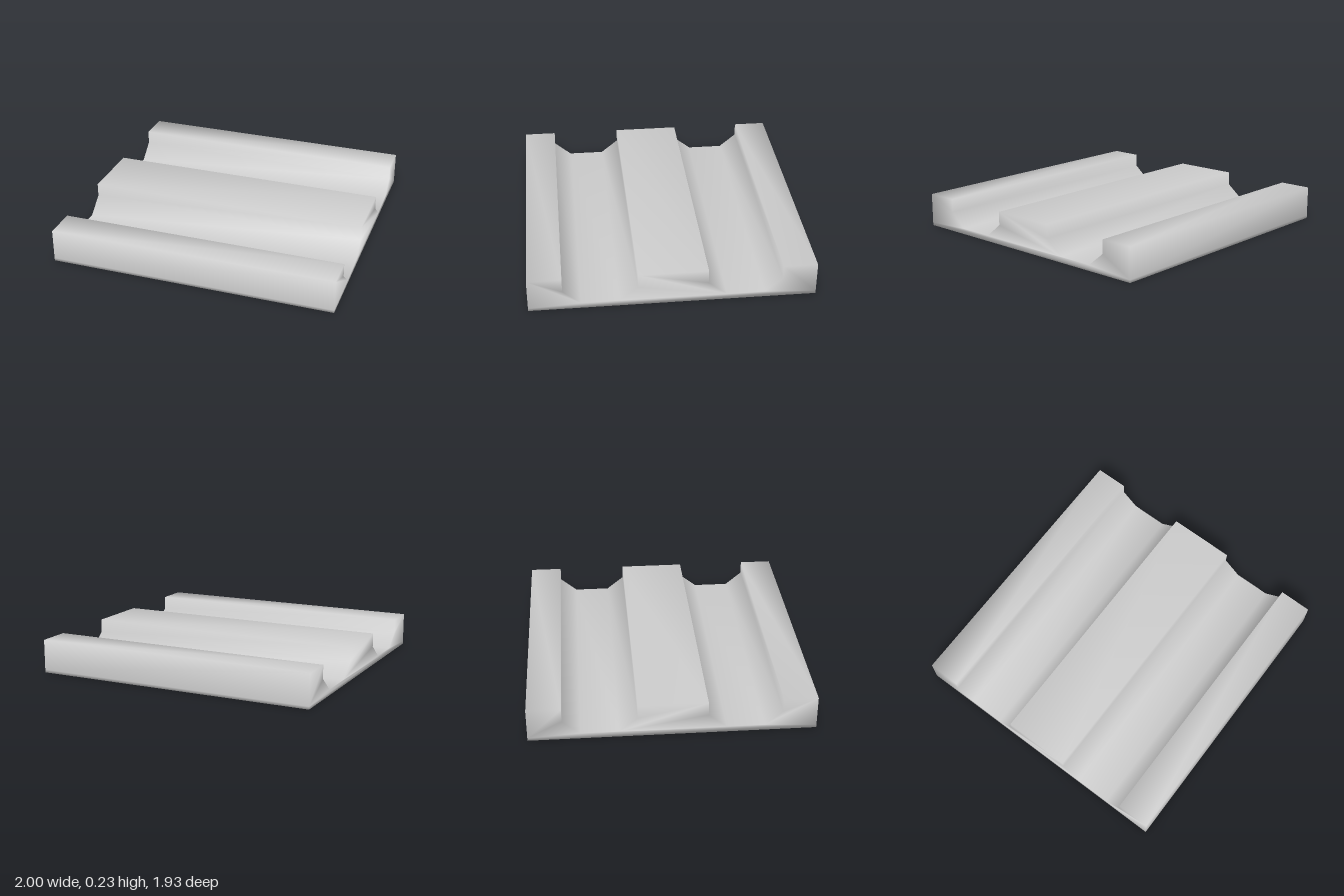
import * as THREE from 'three';
import { mergeGeometries, mergeVertices } from 'three/addons/utils/BufferGeometryUtils.js';

const LENGTH = 2, HALF_WIDTH = 0.965, BASE = 0.02;

// One half of the channel section, from the middle rib out to the edge: [across, height]
const HALF_SECTION = [
  [0.235, 0.235], [0.235, 0.14], [0.36, 0.04], [0.615, 0.04],
  [0.735, 0.14], [0.735, 0.235], [HALF_WIDTH, 0.235], [HALF_WIDTH, BASE],
];

// Drop the internal faces where the ribbed body meets the base
function withoutSeam(geometry) {
  const p = geometry.attributes.position, kept = [];
  for (let i = 0; i < p.count; i += 3) {
    const onSeam = [0, 1, 2].every(k => Math.abs(p.getY(i + k) - BASE) < 1e-4);
    if (onSeam) continue;
    for (let k = 0; k < 3; k++) kept.push(p.getX(i + k), p.getY(i + k), p.getZ(i + k));
  }
  const out = new THREE.BufferGeometry();
  out.setAttribute('position', new THREE.Float32BufferAttribute(kept, 3));
  return out;
}

export function createModel() {
  const group = new THREE.Group();
  group.name = 'channelledPlate';

  // Ribbed body: mirrored section run along x
  const mirrored = HALF_SECTION.map(([z, y]) => [-z, y]).reverse();
  const outline = [...mirrored, ...HALF_SECTION].map(([z, y]) => new THREE.Vector2(z, y));
  const body = new THREE.ExtrudeGeometry(new THREE.Shape(outline), { depth: LENGTH, bevelEnabled: false });
  body.translate(0, 0, -LENGTH / 2).rotateY(Math.PI / 2);

  // Thin base under the ribs
  const base = new THREE.BoxGeometry(LENGTH, BASE, HALF_WIDTH * 2).toNonIndexed();
  base.translate(0, BASE / 2, 0);

  // Joined into one skin with soft, shared normals
  const skin = mergeVertices(mergeGeometries([withoutSeam(body), withoutSeam(base)]), 1e-4);
  skin.computeVertexNormals();

  const plate = new THREE.Mesh(skin, new THREE.MeshStandardMaterial({ color: 0xcccccc }));
  plate.name = 'ribbedPlate';
  group.add(plate);
  return group;
}
